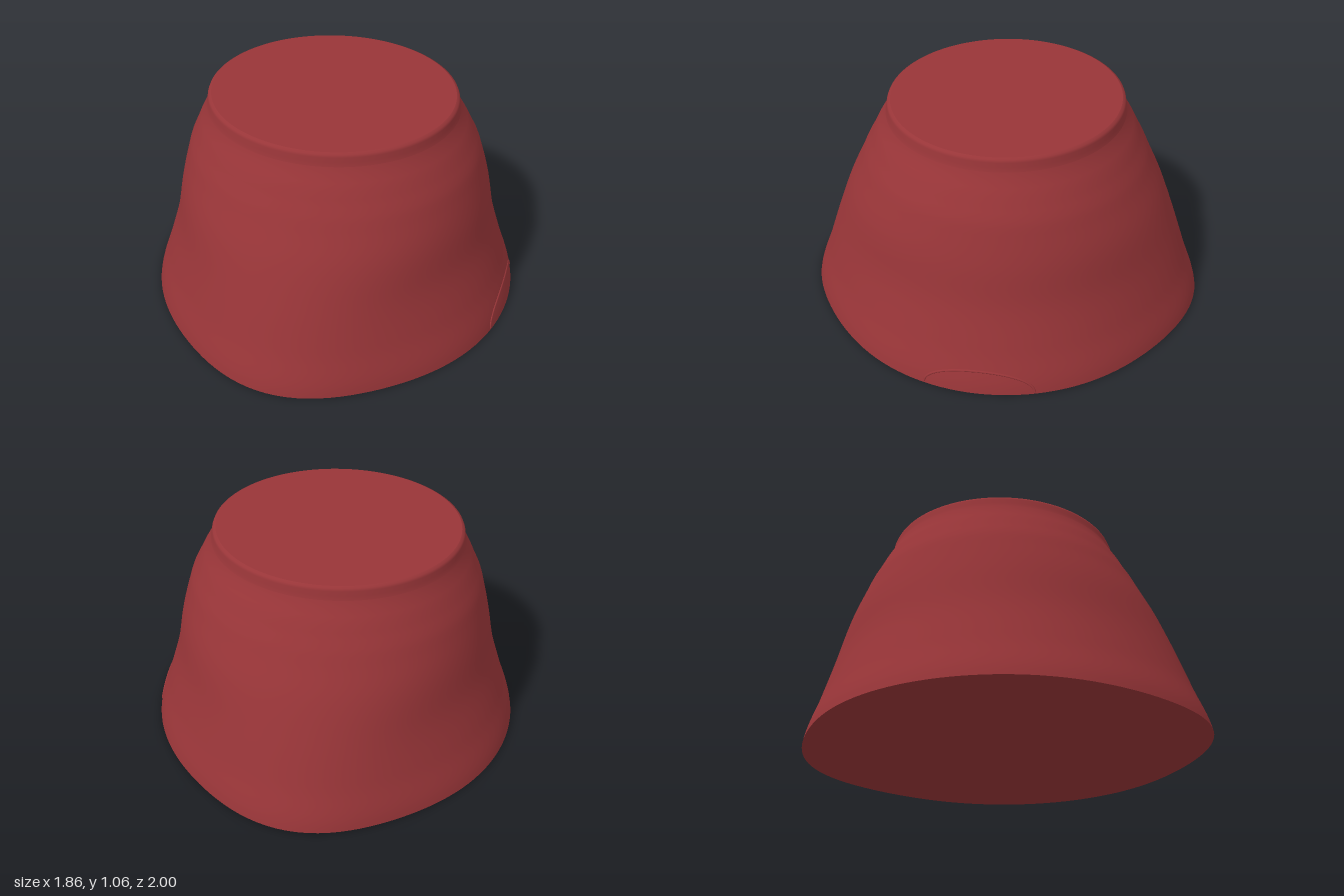
import * as THREE from 'three';

const SIDES = 128;
// height, half width in x, half depth in z, centre x
const WALL = [
  [0, 0.93, 1.0, 0], [0.2, 0.865, 0.93, 0], [0.4, 0.803, 0.86, 0], [0.6, 0.762, 0.782, 0],
  [0.8, 0.709, 0.688, -0.004], [0.92, 0.652, 0.624, -0.008], [1.0, 0.611, 0.577, -0.012],
];
const COLLAR = [
  [1.0, 0.611, 0.577, -0.012], [1.02, 0.604, 0.571, -0.012], [1.042, 0.602, 0.569, -0.012],
  [1.054, 0.597, 0.564, -0.012], [1.06, 0.585, 0.552, -0.012],
];

// Outline point: nearly round, with soft peaks at front and back near the base
function outline([y, a, b, cx], t) {
  const k = THREE.MathUtils.lerp(10, 2, Math.min(1, y / 0.7));
  const r = a + (b - a) * Math.pow(Math.abs(Math.cos(t)), k);
  return new THREE.Vector3(cx + r * Math.sin(t), y, r * Math.cos(t));
}

// Wall section at a given height, by smooth interpolation
function sectionAt(y) {
  let i = 0;
  while (i < WALL.length - 2 && WALL[i + 1][0] < y) i++;
  const f = (y - WALL[i][0]) / (WALL[i + 1][0] - WALL[i][0]);
  const p = (j) => WALL[THREE.MathUtils.clamp(j, 0, WALL.length - 1)];
  return WALL[0].map((_, c) => {
    if (c === 0) return y;
    const m0 = (p(i + 1)[c] - p(i - 1)[c]) / 2;
    const m1 = (p(i + 2)[c] - p(i)[c]) / 2;
    const f2 = f * f, f3 = f2 * f;
    return (2 * f3 - 3 * f2 + 1) * p(i)[c] + (f3 - 2 * f2 + f) * m0
      + (3 * f2 - 2 * f3) * p(i + 1)[c] + (f3 - f2) * m1;
  });
}

function geometryFrom(positions, index) {
  const geo = new THREE.BufferGeometry();
  geo.setAttribute('position', new THREE.Float32BufferAttribute(positions, 3));
  geo.setIndex(index);
  geo.computeVertexNormals();
  return geo;
}

// Skin stretched over stacked sections
function loft(sections) {
  const pos = [], idx = [];
  sections.forEach((s, j) => {
    for (let i = 0; i < SIDES; i++) {
      pos.push(...outline(s, (i / SIDES) * Math.PI * 2).toArray());
      if (j === sections.length - 1) continue;
      const a = j * SIDES + i, b = j * SIDES + ((i + 1) % SIDES);
      idx.push(a, b, b + SIDES, a, b + SIDES, a + SIDES);
    }
  });
  return geometryFrom(pos, idx);
}

// Flat lid over one section
function cap(section, up) {
  const pos = [section[3], section[0], 0], idx = [];
  for (let i = 0; i < SIDES; i++) {
    pos.push(...outline(section, (i / SIDES) * Math.PI * 2).toArray());
    const a = i + 1, b = ((i + 1) % SIDES) + 1;
    idx.push(0, ...(up ? [a, b] : [b, a]));
  }
  return geometryFrom(pos, idx);
}

export function createModel() {
  const group = new THREE.Group();
  const material = new THREE.MeshStandardMaterial({ color: 0x983538 });
  const add = (name, geometry) => {
    const mesh = new THREE.Mesh(geometry, material);
    mesh.name = name;
    group.add(mesh);
  };

  // Flared body
  const sections = [];
  for (let i = 0; i <= 32; i++) sections.push(sectionAt(i / 32));
  add('body', loft(sections));

  // Collar with rounded rim
  add('collar', loft(COLLAR));
  add('topFace', cap(COLLAR[COLLAR.length - 1], true));
  add('baseFace', cap(WALL[0], false));

  // Faint arched ridge low on the left side, following the wall
  const arch = [];
  for (let i = 0; i <= 24; i++) {
    const a = (i / 24) * Math.PI;
    const z = 0.26 * Math.cos(a), y = 0.008 + 0.1 * Math.sin(a);
    const p = outline(sectionAt(y), Math.PI / 2 - z / 0.92);
    p.x -= 0.002;
    arch.push(p);
  }
  add('archRidge', new THREE.TubeGeometry(new THREE.CatmullRomCurve3(arch), 48, 0.006, 8));

  return group;
}
